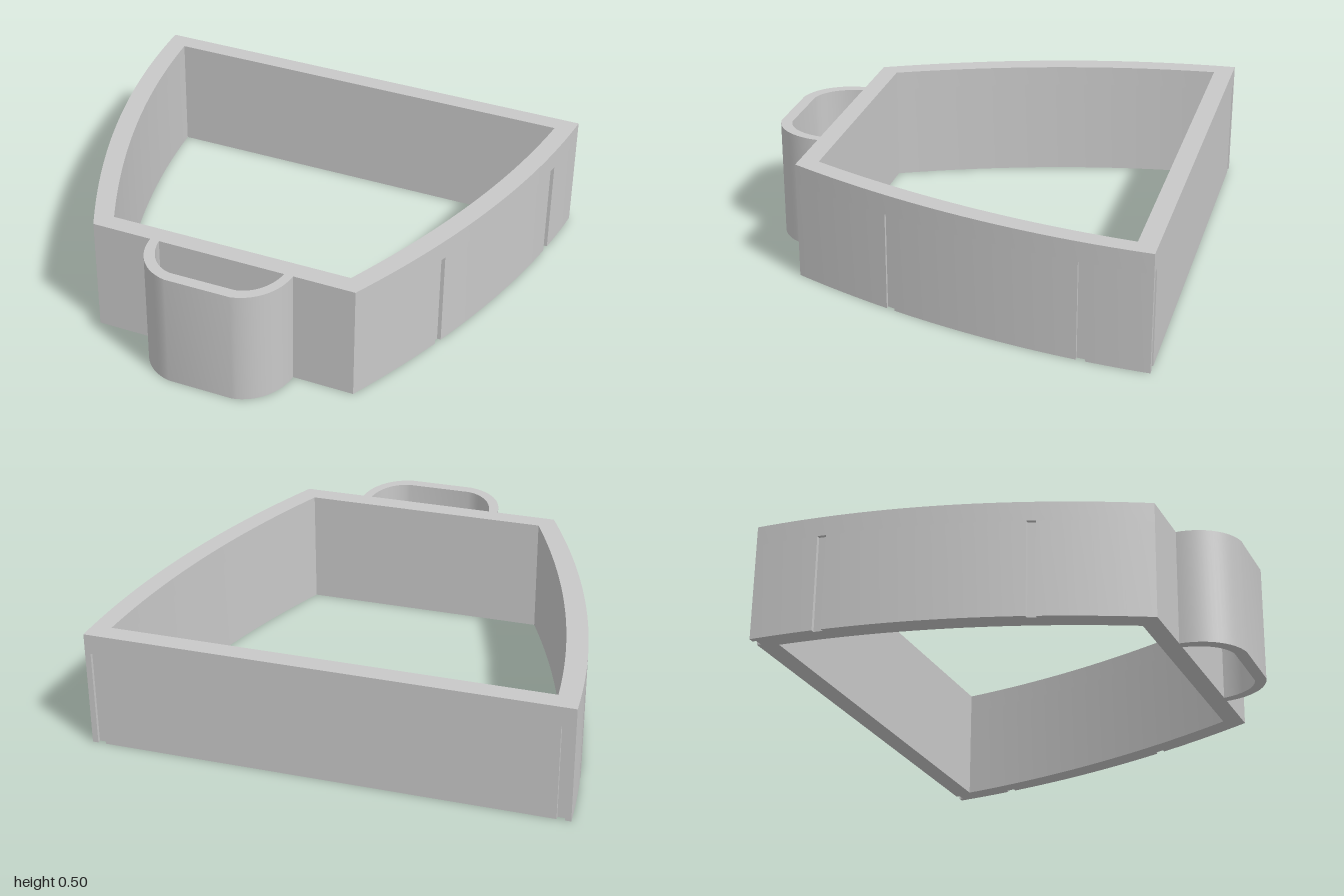
import * as THREE from 'three';
import { toCreasedNormals } from 'three/addons/utils/BufferGeometryUtils.js';

const HEIGHT = 0.505, SLOT_TOP = 0.42, SLOT_DEPTH = 0.016;
const SIDE_SLOTS = [[-0.63, -0.592], [0.2, 0.236]];
const BACK_SLOT = [0.942, 0.976];

// A bowed side wall runs from a back corner a to a front corner b.
const leftOuter = { a: [1, -0.888], b: [0.572, 0.676], bow: 0.165 };
const rightOuter = { a: [-1, -0.898], b: [-0.583, 0.67], bow: -0.18 };
const leftInner = { a: [0.914, -0.807], b: [0.519, 0.593], bow: 0.128 };
const rightInner = { a: [-0.91, -0.815], b: [-0.53, 0.591], bow: -0.14 };

function sideX({ a, b, bow }, z) {
  const t = (z - a[1]) / (b[1] - a[1]);
  return a[0] + (b[0] - a[0]) * t + 2 * t * (1 - t) * bow;
}

// Points along a side from back to front, with optional notches cut inwards
function sidePoints(side, slots = []) {
  const pts = [], n = 28;
  for (let i = 0; i <= n; i++) {
    const z = side.a[1] + (side.b[1] - side.a[1]) * i / n;
    if (!slots.some(([s, e]) => z > s - 0.005 && z < e + 0.005)) pts.push([sideX(side, z), z]);
  }
  const inward = -Math.sign(side.bow) * SLOT_DEPTH;
  for (const [s, e] of slots) {
    const at = pts.findIndex(p => p[1] > e);
    const xs = sideX(side, s), xe = sideX(side, e);
    pts.splice(at, 0, [xs, s], [xs + inward, s], [xe + inward, e], [xe, e]);
  }
  return pts;
}

// Notches in the back face, from the right end to the left end
function backPoints() {
  const zAt = x => -0.893 + 0.005 * x;
  const [s, e] = BACK_SLOT;
  return [[-e, -s], [s, e]].flatMap(([p, q]) => [
    [p, zAt(p)], [p, zAt(p) + SLOT_DEPTH], [q, zAt(q) + SLOT_DEPTH], [q, zAt(q)],
  ]);
}

const toVectors = pts => pts.map(([x, z]) => new THREE.Vector2(x, -z));

function extrudeUp(shape, y0, y1) {
  const geo = new THREE.ExtrudeGeometry(shape, { depth: y1 - y0, bevelEnabled: false, curveSegments: 16 });
  geo.rotateX(-Math.PI / 2);
  geo.translate(0, y0, 0);
  return toCreasedNormals(geo, 0.4);
}

// Closed wall ring; the hole winds against the outline so its faces look inwards
function wallShape(slotted) {
  const slots = slotted ? SIDE_SLOTS : [];
  const shape = new THREE.Shape(toVectors([
    ...(slotted ? backPoints() : []),
    ...sidePoints(leftOuter, slots),
    ...sidePoints(rightOuter, slots).reverse(),
  ]));
  shape.holes.push(new THREE.Path(toVectors([
    ...sidePoints(rightInner), ...sidePoints(leftInner).reverse(),
  ])));
  return shape;
}

// Rounded U loop standing out from the front wall
function handleShape() {
  const s = new THREE.Shape();
  s.moveTo(-0.322, -0.67);
  s.bezierCurveTo(-0.318, -0.784, -0.25, -0.878, -0.145, -0.898);
  s.lineTo(0.139, -0.898);
  s.bezierCurveTo(0.24, -0.878, 0.305, -0.784, 0.308, -0.672);
  s.lineTo(0.27, -0.672);
  s.bezierCurveTo(0.262, -0.759, 0.215, -0.833, 0.139, -0.848);
  s.lineTo(-0.145, -0.848);
  s.bezierCurveTo(-0.222, -0.833, -0.272, -0.759, -0.283, -0.67);
  s.closePath();
  return s;
}

export function createModel() {
  const group = new THREE.Group();
  group.name = 'frame';
  const grey = new THREE.MeshStandardMaterial({ color: 0xc8c8c8 });
  grey.name = 'grey';

  const add = (name, geo) => {
    const mesh = new THREE.Mesh(geo, grey);
    mesh.name = name;
    group.add(mesh);
  };

  add('slottedWall', extrudeUp(wallShape(true), 0, SLOT_TOP));
  add('upperWall', extrudeUp(wallShape(false), SLOT_TOP, HEIGHT));
  add('frontHandle', extrudeUp(handleShape(), 0, HEIGHT));
  return group;
}
